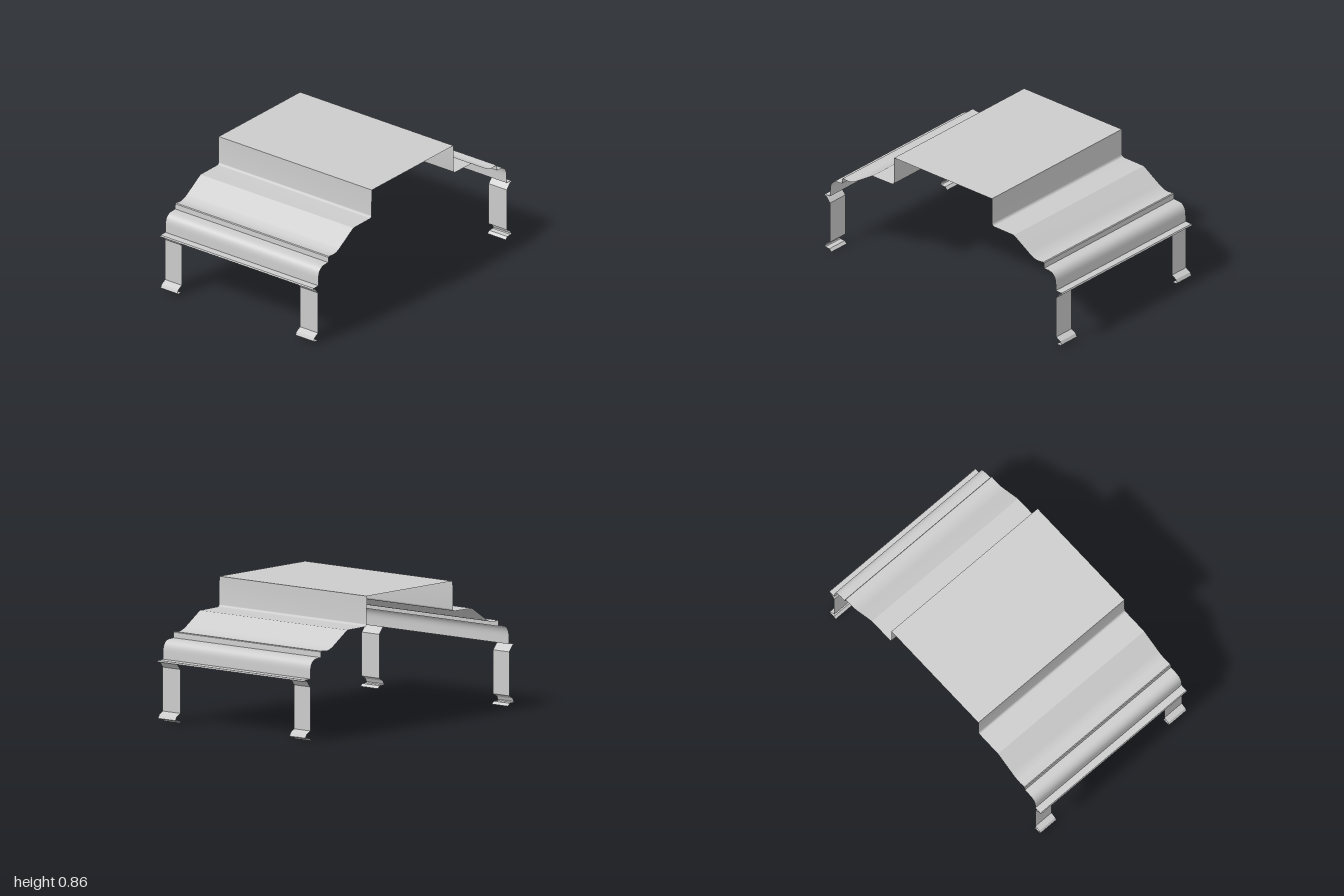
import * as THREE from 'three';
import { toCreasedNormals } from 'three/addons/utils/BufferGeometryUtils.js';

const material = new THREE.MeshStandardMaterial({ color: 0xcccccc, side: THREE.DoubleSide });

// Thin sheet: an x-y profile swept straight along z from z0 to z1
function sheet(name, profile, z0, z1) {
  const positions = [], index = [];
  profile.forEach(([x, y], i) => {
    positions.push(x, y, z0, x, y, z1);
    if (i > 0) {
      const a = 2 * (i - 1);
      index.push(a, a + 1, a + 2, a + 1, a + 3, a + 2);
    }
  });
  const geometry = new THREE.BufferGeometry();
  geometry.setAttribute('position', new THREE.Float32BufferAttribute(positions, 3));
  geometry.setIndex(index);
  const mesh = new THREE.Mesh(toCreasedNormals(geometry, 0.5), material);
  mesh.name = name;
  return mesh;
}

const mirror = (profile) => profile.map(([x, y]) => [-x, y]);

// Half profile, from the raised deck out to the edge flange
function halfProfile() {
  const path = new THREE.Path();
  path.moveTo(0.41, 0.86);
  path.lineTo(0.412, 0.686);                              // deck side wall
  path.quadraticCurveTo(0.412, 0.667, 0.43, 0.667);       // fillet
  path.lineTo(0.595, 0.665);                              // shelf
  path.lineTo(0.72, 0.585);                               // slope
  path.quadraticCurveTo(0.76, 0.557, 0.80, 0.555);
  path.lineTo(0.842, 0.56);
  path.lineTo(0.847, 0.555);
  path.lineTo(0.849, 0.52);                               // small step
  path.lineTo(0.89, 0.518);
  path.bezierCurveTo(0.925, 0.515, 0.946, 0.49, 0.947, 0.445); // rounded shoulder
  path.lineTo(0.948, 0.395);
  path.lineTo(0.995, 0.393);                              // flange and lip
  path.lineTo(1.0, 0.384);
  return path.getPoints(8).map((p) => [p.x, p.y]);
}

export function createModel() {
  const group = new THREE.Group();

  // Folded roof sheet, symmetric about x = 0
  const half = halfProfile();
  group.add(sheet('roofSheet', [...mirror(half).reverse(), ...half], -0.617, 0.617));

  // Strip legs with a bent head and foot at each corner
  const leg = [
    [0.995, 0.39], [0.98, 0.382], [0.95, 0.345], [0.95, 0.065],
    [0.985, 0.045], [0.995, 0.024], [0.99, 0.018], [0.955, 0.017], [0.938, 0],
  ];
  for (const [side, profile] of [['left', leg], ['right', mirror(leg)]]) {
    group.add(sheet(side + 'FrontLeg', profile, 0.47, 0.617));
    group.add(sheet(side + 'BackLeg', profile, -0.617, -0.482));
  }
  return group;
}
